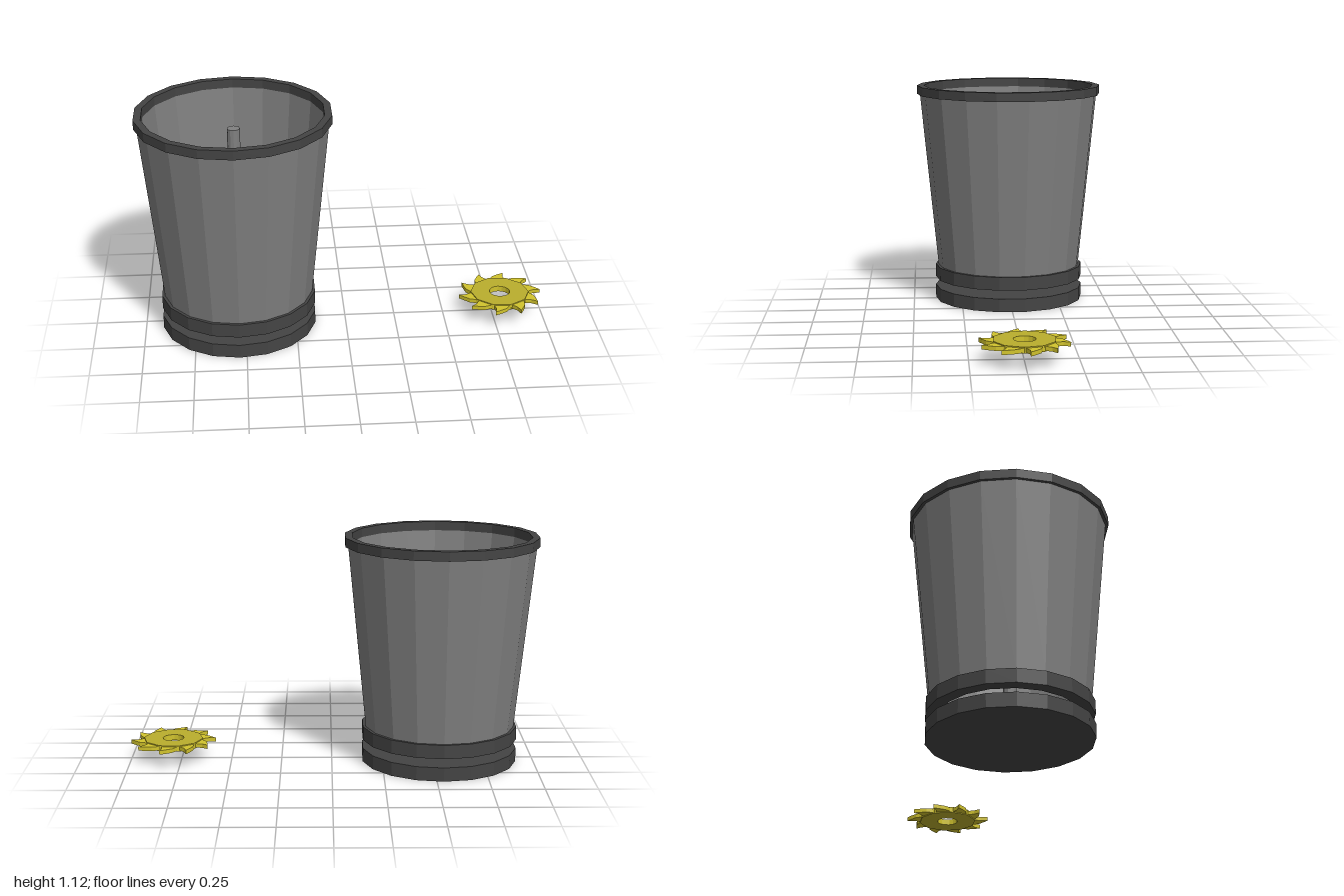
import * as THREE from 'three';

const SIDES = 18;
const mat = (name, color, side = THREE.FrontSide) => {
  const m = new THREE.MeshStandardMaterial({ color, flatShading: true, side });
  m.name = name;
  return m;
};

export function createModel() {
  const wallGrey = mat('wall grey', 0x808080);
  const trimGrey = mat('dark trim grey', 0x444444);
  const bladeYellow = mat('blade yellow', 0xd2c42d);
  const hubOlive = mat('hub olive', 0xbaae2d);

  const model = new THREE.Group();
  model.name = 'bladeBucket';

  const add = (parent, name, geometry, material) => {
    const mesh = new THREE.Mesh(geometry, material);
    mesh.name = name;
    parent.add(mesh);
    return mesh;
  };

  // Closed ring profile: outer and inner radius at the bottom and at the top
  const ring = (y0, y1, out0, out1, in0, in1) => new THREE.LatheGeometry(
    [[in0, y0], [out0, y0], [out1, y1], [in1, y1], [in0, y0]].map(p => new THREE.Vector2(...p)), SIDES);

  // Bucket with tapered wall, rim, lower collar and separate base
  const bucket = new THREE.Group();
  bucket.name = 'bucket';
  bucket.position.x = -0.533;
  model.add(bucket);
  add(bucket, 'wall', ring(0.175, 1.085, 0.37, 0.461, 0.355, 0.44), wallGrey);
  add(bucket, 'rim', ring(1.08, 1.125, 0.475, 0.475, 0.439, 0.439), trimGrey);
  add(bucket, 'collar', ring(0.112, 0.18, 0.385, 0.385, 0.325, 0.325), trimGrey);
  add(bucket, 'base', new THREE.CylinderGeometry(0.385, 0.385, 0.068, SIDES), trimGrey).position.y = 0.034;
  add(bucket, 'spindle', new THREE.CylinderGeometry(0.031, 0.031, 0.98, 12), wallGrey).position.y = 0.55;

  // Flat extrusion lying in the ground plane, with a round centre hole
  const plate = (points, y0, y1) => {
    const shape = new THREE.Shape(points);
    const hole = new THREE.Path();
    hole.absarc(0, 0, 0.052, 0, Math.PI * 2, true);
    shape.holes.push(hole);
    return new THREE.ExtrudeGeometry(shape, { depth: y1 - y0, bevelEnabled: false, curveSegments: 8 })
      .rotateX(-Math.PI / 2).translate(0, y0, 0);
  };
  const polar = (deg, r) => {
    const a = THREE.MathUtils.degToRad(deg);
    return new THREE.Vector2(r * Math.cos(a), r * Math.sin(a));
  };

  // One hooked tooth: angle past the tip in degrees, radius
  const TEETH = 10;
  const tooth = [[-5, 0.145], [0, 0.175], [0, 0.21], [8, 0.19], [17, 0.172], [25, 0.148]];
  const toothedDisc = (turn, y0, y1) => {
    const points = [];
    for (let i = 0; i < TEETH; i++) {
      for (const [a, r] of tooth) points.push(polar(turn + i * 360 / TEETH + a, r));
    }
    return plate(points, y0, y1);
  };
  const hubOutline = Array.from({ length: TEETH }, (_, i) => polar(4 + i * 36 - 8, 0.147));

  const makeBlade = (name, x, turns) => {
    const blade = new THREE.Group();
    blade.name = name;
    blade.position.x = x;
    turns.forEach((turn, i) =>
      add(blade, 'teeth', toothedDisc(turn, 0.08 + i * 0.001, 0.1 + i * 0.001), bladeYellow));
    add(blade, 'hub', plate(hubOutline, 0.076, 0.105), [hubOlive, bladeYellow]);
    model.add(blade);
  };

  // Two interleaved blades on the spindle and one loose blade beside the bucket
  makeBlade('spindleBlades', -0.533, [4, 22]);
  makeBlade('looseBlade', 0.79, [4]);

  return model;
}
